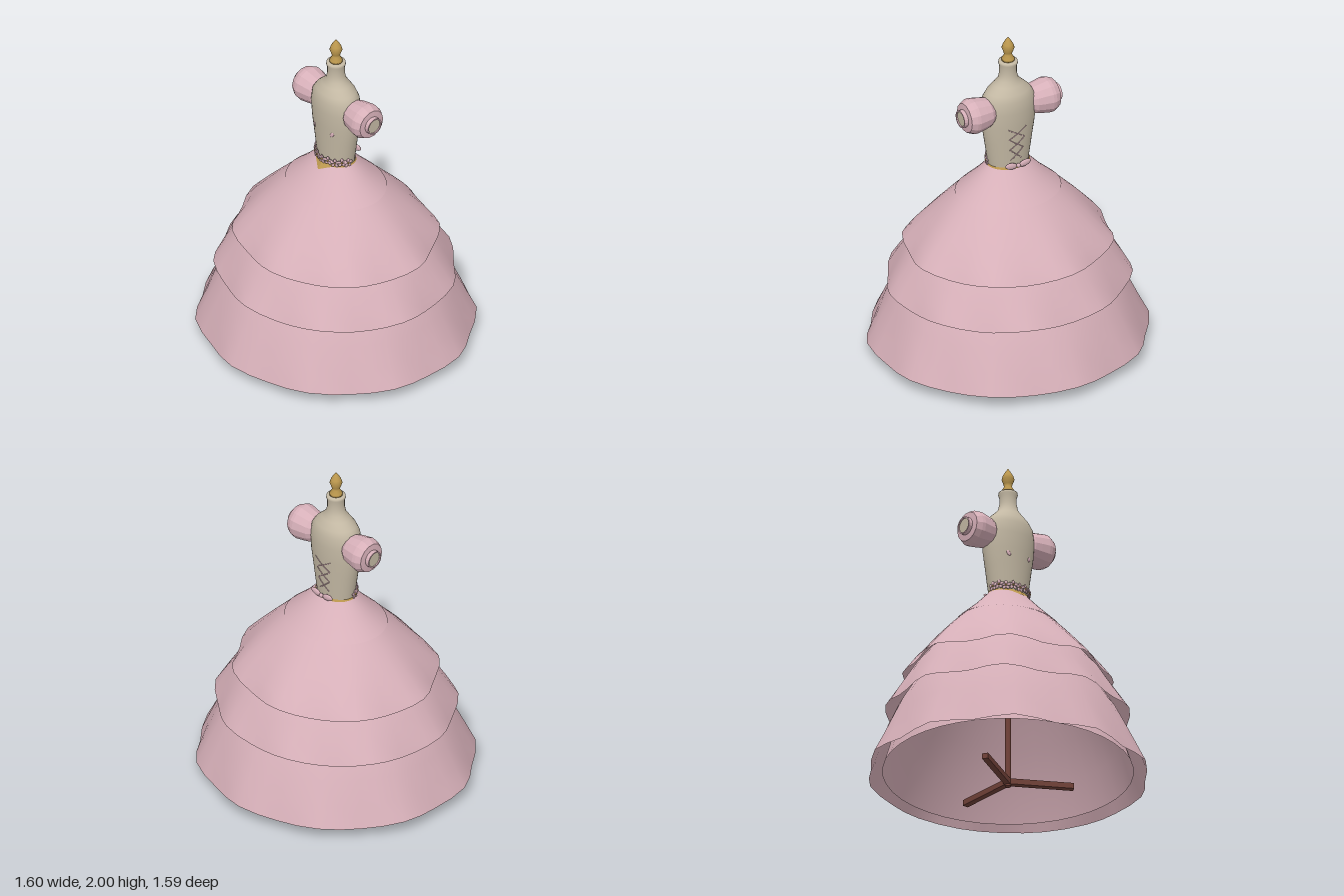
import * as THREE from 'three';

const mat = (name, color, side = THREE.FrontSide) => {
  const m = new THREE.MeshStandardMaterial({ color, side });
  m.name = name;
  return m;
};

export function createModel() {
  const pink = mat('dusty pink fabric', 0xd7b0b9, THREE.DoubleSide);
  const linen = mat('linen', 0xc4b9a4);
  const gold = mat('antique gold', 0xbc984e, THREE.DoubleSide);
  const wood = mat('dark wood', 0x724239);
  const root = new THREE.Group();
  root.name = 'dressForm';

  const add = (name, geo, material, parent = root) => {
    const m = new THREE.Mesh(geo, material);
    m.name = name;
    parent.add(m);
    return m;
  };
  const lathe = (pts, seg = 32) =>
    new THREE.LatheGeometry(pts.map(([r, y]) => new THREE.Vector2(r, y)), seg);
  const faceted = (geo) => {
    const flat = geo.toNonIndexed();
    flat.computeVertexNormals();
    return flat;
  };

  // Elliptical loft: rows of [y, rx, rz], bottom to top, with optional waves growing to the hem
  const loft = (rows, seg = 40, { lobes = 0, amp = 0, lift = 0, phase = 0 } = {}) => {
    const geo = lathe(rows.map(([y]) => [1, y]), seg);
    const p = geo.attributes.position;
    const n = rows.length;
    for (let i = 0; i < p.count; i++) {
      const [y, rx, rz] = rows[i % n];
      const a = (Math.floor(i / n) / seg) * Math.PI * 2;
      const t = 1 - (i % n) / (n - 1);
      const w = Math.cos(lobes * a - phase) * t * t;
      const k = 1 + amp * w;
      p.setXYZ(i, Math.sin(a) * rx * k, y + lift * w, Math.cos(a) * rz * k);
    }
    geo.computeVertexNormals();
    // Join the normals across the seam
    const nor = geo.attributes.normal;
    for (let j = 0; j < n; j++) {
      const e = seg * n + j;
      const v = new THREE.Vector3().fromBufferAttribute(nor, j)
        .add(new THREE.Vector3().fromBufferAttribute(nor, e)).normalize();
      nor.setXYZ(j, v.x, v.y, v.z);
      nor.setXYZ(e, v.x, v.y, v.z);
    }
    return geo;
  };

  // Skirt: smooth yoke, three ruffled tiers and a plain lining
  add('skirtYoke', loft([[1.01, 0.315, 0.27], [1.1, 0.215, 0.18], [1.19, 0.13, 0.097]]), pink);
  add('upperTier', loft([[0.675, 0.605, 0.562], [0.75, 0.55, 0.51], [0.85, 0.465, 0.42],
    [0.94, 0.38, 0.335], [1.015, 0.305, 0.26]], 40, { lobes: 8, amp: 0.028, lift: 0.01, phase: 1.12 }), pink);
  add('middleTier', loft([[0.438, 0.708, 0.67], [0.52, 0.665, 0.625], [0.61, 0.61, 0.57],
    [0.7, 0.555, 0.515], [0.78, 0.49, 0.45]], 45, { lobes: 9, amp: 0.02, lift: 0.01 }), pink);
  add('lowerTier', loft([[0.075, 0.812, 0.778], [0.2, 0.757, 0.728], [0.33, 0.702, 0.668],
    [0.45, 0.648, 0.608], [0.55, 0.588, 0.545]], 40, { lobes: 10, amp: 0.019, lift: 0.008 }), pink);
  add('skirtLining', loft([[0.095, 0.72, 0.715], [0.3, 0.665, 0.64], [0.5, 0.58, 0.55], [0.7, 0.49, 0.45],
    [0.85, 0.41, 0.37], [1.0, 0.285, 0.24], [1.16, 0.125, 0.1]]), pink);

  // Torso and neck
  add('torso', loft([[1.17, 0.12, 0.09], [1.25, 0.133, 0.097], [1.35, 0.148, 0.104], [1.45, 0.164, 0.112],
    [1.55, 0.168, 0.119], [1.62, 0.158, 0.114], [1.66, 0.131, 0.1], [1.7, 0.088, 0.075],
    [1.73, 0.06, 0.057], [1.77, 0.05, 0.05], [1.815, 0.05, 0.05], [1.83, 0.056, 0.056],
    [1.845, 0.054, 0.054], [1.845, 0.001, 0.001]]), linen);

  // Finial
  add('finial', lathe([[0, 1.845], [0.038, 1.848], [0.037, 1.86], [0.022, 1.885], [0.026, 1.9],
    [0.037, 1.93], [0.03, 1.953], [0.014, 1.98], [0, 2]], 16), gold);

  // Puffed sleeves with cuffs and arm caps
  for (const s of [1, -1]) {
    const sleeve = new THREE.Group();
    sleeve.name = s > 0 ? 'leftSleeve' : 'rightSleeve';
    sleeve.position.set(s * 0.12, 1.553, -0.012);
    sleeve.rotation.z = -s * Math.PI / 2;
    add('puff', faceted(lathe([[0.066, 0], [0.088, 0.03], [0.097, 0.07], [0.106, 0.12],
      [0.104, 0.14], [0.088, 0.173], [0.05, 0.177]], 14)), pink, sleeve);
    add('cuff', faceted(lathe([[0.052, 0.17], [0.052, 0.202], [0.044, 0.202], [0.044, 0.185]], 20)), pink, sleeve);
    add('armCap', new THREE.CylinderGeometry(0.045, 0.045, 0.19, 20), linen, sleeve).position.y = 0.099;
    root.add(sleeve);
  }

  // Narrow waistband with a pointed front
  add('waistBand', loft([[1.184, 0.134, 0.103], [1.197, 0.127, 0.097]]), gold);
  const point = new THREE.BufferGeometry();
  point.setAttribute('position', new THREE.Float32BufferAttribute([
    -0.075, 1.188, 0.088, 0, 1.154, 0.137, 0, 1.197, 0.104,
    0, 1.197, 0.104, 0, 1.154, 0.137, 0.075, 1.188, 0.088], 3));
  point.computeVertexNormals();
  add('waistPoint', point, gold);

  // Five-petalled flowers round the front of the waist
  const petal = new THREE.SphereGeometry(0.011, 8, 6);
  const flower = (x, y, z, turn) => {
    const g = new THREE.Group();
    g.name = 'waistFlower';
    for (let i = 0; i < 5; i++) {
      const a = (i / 5) * Math.PI * 2 + Math.PI / 2;
      const m = add('petal', petal, pink, g);
      m.position.set(Math.cos(a) * 0.014, Math.sin(a) * 0.014, 0);
      m.rotation.z = a;
      m.scale.set(1, 0.7, 0.4);
    }
    add('flowerCentre', new THREE.SphereGeometry(0.005, 8, 6), gold, g).position.z = 0.003;
    g.position.set(x, y, z);
    g.rotation.y = turn;
    g.scale.setScalar(1.2);
    root.add(g);
  };
  for (let i = -4; i <= 4; i++) {
    const a = i * 0.34;
    flower(Math.sin(a) * 0.133, 1.216 + (i % 2 ? 0.004 : -0.002), Math.cos(a) * 0.106, a);
  }

  // Fine crossed lacing down the back
  const backZ = (x, y) => {
    const t = (y - 1.17) / 0.38;
    return -(0.091 + 0.029 * t) * Math.sqrt(1 - (x / (0.121 + 0.048 * t)) ** 2);
  };
  const lace = (x0, y0, x1, y1) => {
    const pts = [0, 0.25, 0.5, 0.75, 1].map((t) => {
      const x = x0 + (x1 - x0) * t, y = y0 + (y1 - y0) * t;
      return new THREE.Vector3(x, y, backZ(x, y));
    });
    add('lacing', new THREE.TubeGeometry(new THREE.CatmullRomCurve3(pts), 8, 0.003, 5), pink);
  };
  for (let i = 0; i < 3; i++) {
    const y = 1.24 + i * 0.07, w = 0.035 + i * 0.008;
    for (const s of [1, -1]) lace(-s * w, y, s * (w + 0.008), y + 0.07);
  }

  // Bow at the back of the waist
  for (const s of [1, -1]) {
    const loop = add('bowLoop', new THREE.SphereGeometry(0.034, 12, 8), pink);
    loop.scale.set(1.2, 0.6, 0.3);
    loop.position.set(s * 0.045, 1.214, -0.115);
    loop.rotation.z = s * 0.2;
  }
  add('bowKnot', new THREE.SphereGeometry(0.013, 10, 8), pink).position.set(0, 1.211, -0.12);

  // Small front bust ornaments
  for (const s of [1, -1]) {
    const m = add('bustOrnament', new THREE.SphereGeometry(0.013, 8, 6), pink);
    m.scale.set(0.9, 1.4, 0.3);
    m.position.set(s * 0.075, 1.415, 0.096);
    m.rotation.set(0, s * 0.4, -s * 0.5);
  }

  // Stand: pole and three feet
  add('pole', new THREE.CylinderGeometry(0.018, 0.018, 1.18, 12), wood).position.y = 0.59;
  for (let i = 0; i < 3; i++) {
    const leg = new THREE.BoxGeometry(0.036, 0.034, 0.38);
    leg.translate(0, 0.028, -0.19);
    add('standFoot', leg, wood).rotation.y = (i * Math.PI * 2) / 3;
  }
  return root;
}
